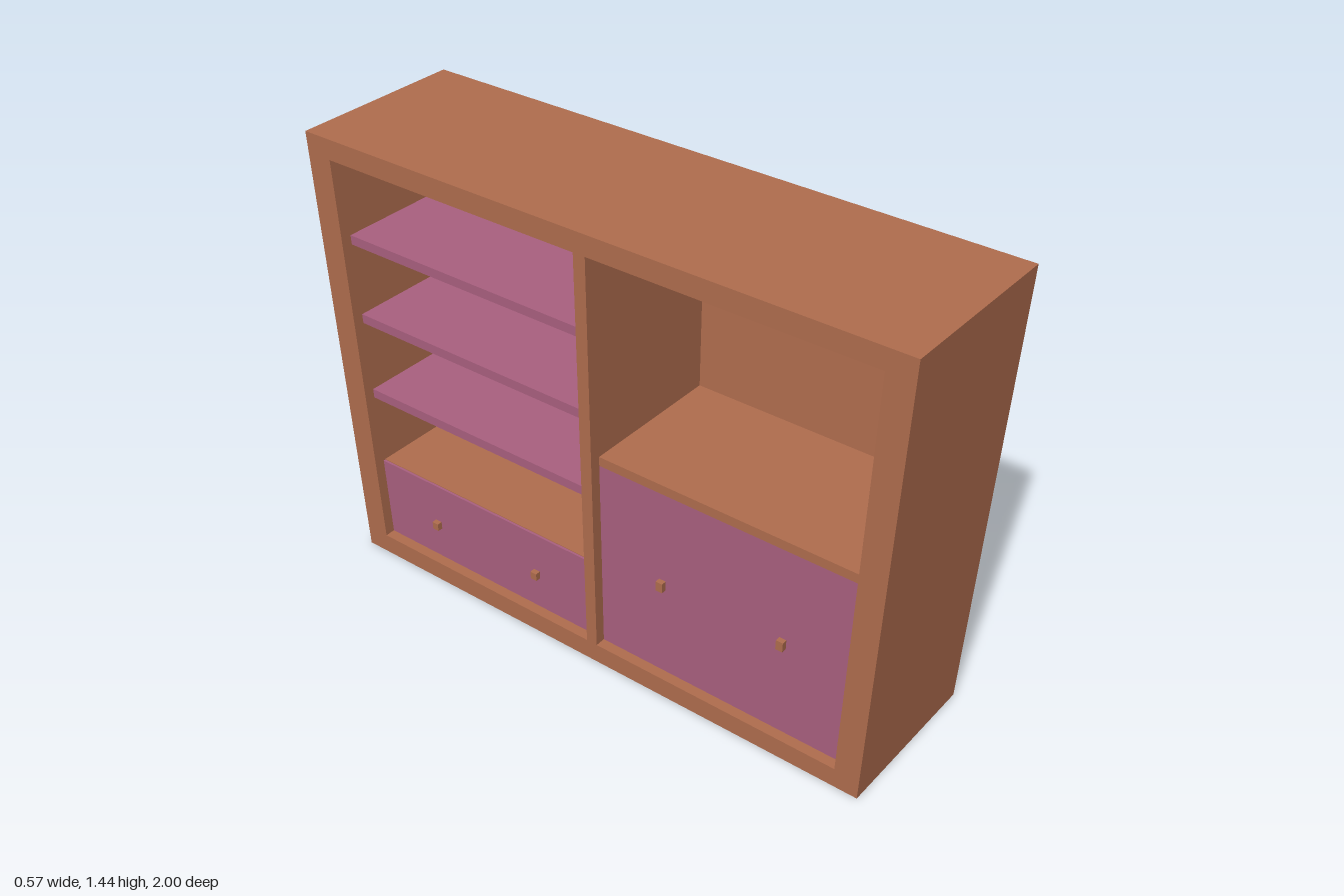
import * as THREE from 'three';

const H = 1.44, W = 0.283, RECESS = 0.036;   // height, half depth in x, setback of the fittings
const SIDE = 0.085, SLAB = 0.065, BACK = 0.045, DIV = 0.02;

export function createModel() {
  const brown = new THREE.MeshStandardMaterial({ color: 0xb06d4e });
  brown.name = 'brown wood';
  const plum = new THREE.MeshStandardMaterial({ color: 0xaa6080 });
  plum.name = 'plum paint';
  const group = new THREE.Group();
  group.name = 'cabinet';

  // Box between two corners, narrowed towards the floor like the whole cabinet
  function block(name, material, [x0, x1], [y0, y1], [z0, z1]) {
    const geo = new THREE.BoxGeometry(x1 - x0, y1 - y0, z1 - z0);
    geo.translate((x0 + x1) / 2, (y0 + y1) / 2, (z0 + z1) / 2);
    const p = geo.attributes.position;
    for (let i = 0; i < p.count; i++) {
      const f = 0.93 + 0.07 * p.getY(i) / H;
      p.setX(i, p.getX(i) * f);
      p.setZ(i, p.getZ(i) * f);
    }
    geo.computeVertexNormals();
    const mesh = new THREE.Mesh(geo, material);
    mesh.name = name;
    group.add(mesh);
  }

  // Carcass, open towards -x
  const inner = 1 - SIDE, full = [-W, W], span = [-inner, inner];
  block('backEndWall', brown, full, [0, H], [-1, -inner]);
  block('frontEndWall', brown, full, [0, H], [inner, 1]);
  block('base', brown, full, [0, SLAB], span);
  block('top', brown, full, [H - SLAB, H], span);
  block('rearPanel', brown, [W - BACK, W], [SLAB, H - SLAB], span);
  block('divider', brown, [-W, W - BACK], [SLAB, H - SLAB], [-DIV, DIV]);

  // Shelved bay
  const face = -W + RECESS, deep = [face, W - BACK];
  const shelfBay = [-inner, -DIV], doorBay = [DIV, inner];
  for (const y of [0.6, 0.8625, 1.125]) block('shelf', plum, deep, [y - 0.03, y], shelfBay);
  block('drawerBox', brown, [face + 0.008, W - BACK], [SLAB, 0.338], shelfBay);
  block('drawerFront', plum, [face, face + 0.008], [SLAB, 0.336], shelfBay);

  // Cupboard bay
  block('cupboardTop', brown, deep, [0.7, 0.73], doorBay);
  block('cupboardDoor', plum, [face, face + 0.03], [SLAB, 0.7], doorBay);

  // Small square knobs
  const knob = (y, z, h) =>
    block('knob', brown, [face - 0.018, face], [y - h / 2, y + h / 2], [z - 0.012, z + 0.012]);
  for (const s of [-0.215, 0.215]) {
    knob(0.19, -0.467 + s, 0.025);
    knob(0.385, 0.467 + s, 0.032);
  }
  return group;
}
